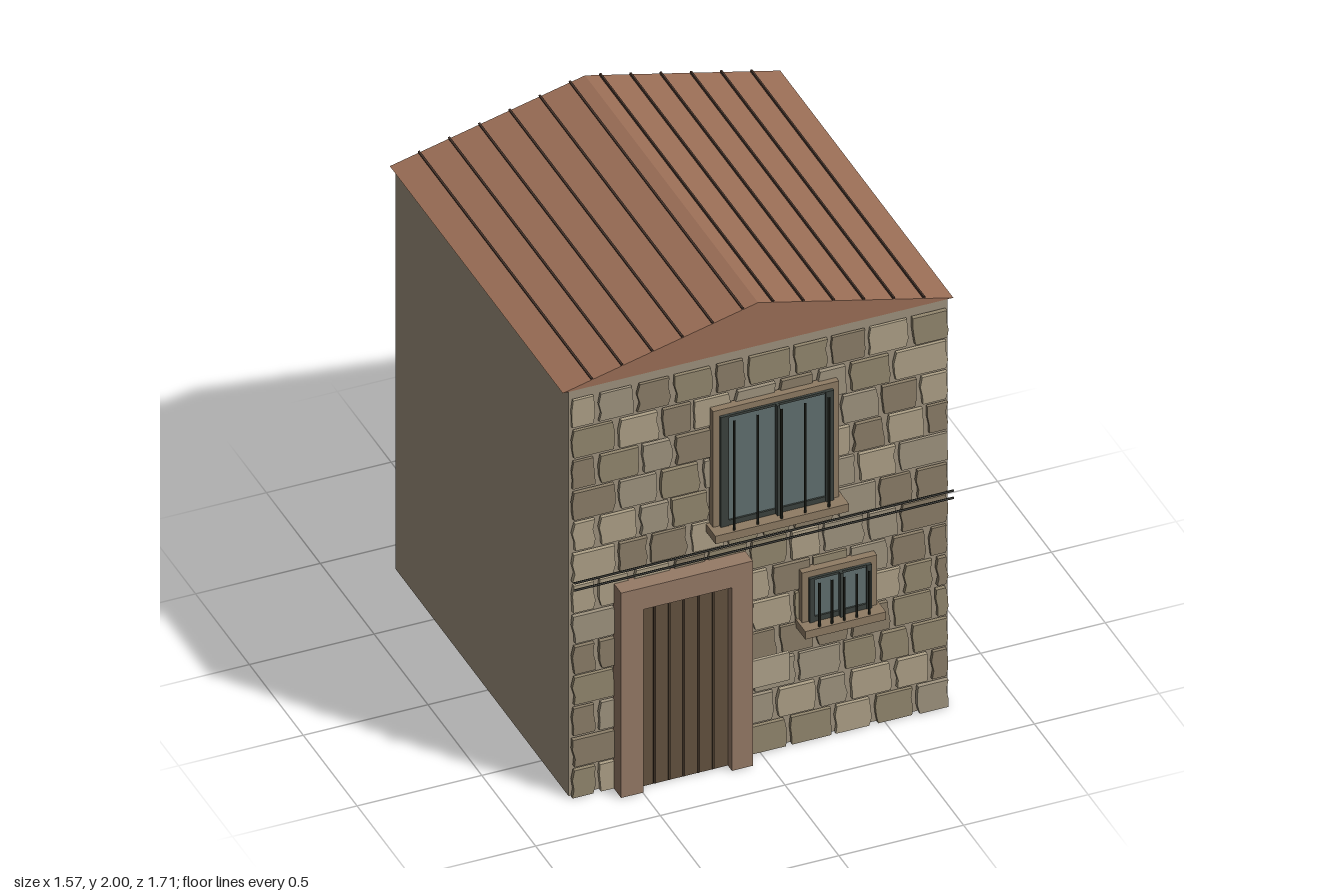
import * as THREE from 'three';

const mat = (color) => new THREE.MeshStandardMaterial({ color, flatShading: true });
const M = {
  wall: mat(0x9f927e), roof: mat(0x9c6f57), seam: mat(0x45332a), trim: mat(0x8f7c64),
  doorFrame: mat(0x967a66), door: mat(0x64523f), groove: mat(0x483a2d), glass: mat(0x617070),
  dark: mat(0x3c423e), iron: mat(0x25271f), plaque: mat(0xb0a48c),
};
const stoneMats = [0xa09580, 0x94886f, 0xafa288, 0x8c7f69].map(mat);

// Small seeded generator
let seed = 7;
const rnd = () => (seed = (seed * 16807) % 2147483647) / 2147483647;

// Box given by its limits on each axis
function box(parent, name, m, x0, x1, y0, y1, z0, z1) {
  const mesh = new THREE.Mesh(new THREE.BoxGeometry(x1 - x0, y1 - y0, z1 - z0), m);
  mesh.position.set((x0 + x1) / 2, (y0 + y1) / 2, (z0 + z1) / 2);
  mesh.name = name;
  parent.add(mesh);
  return mesh;
}

function extrude(parent, name, m, shape, z0, z1) {
  const geo = new THREE.ExtrudeGeometry(shape, { depth: z1 - z0, bevelEnabled: false });
  const mesh = new THREE.Mesh(geo, m);
  mesh.position.z = z0;
  mesh.name = name;
  parent.add(mesh);
  return mesh;
}

const polygon = (pts) => new THREE.Shape(pts.map(([x, y]) => new THREE.Vector2(x, y)));

// Thin round rod between two points
function rod(parent, name, m, a, b, r) {
  const path = new THREE.LineCurve3(new THREE.Vector3(...a), new THREE.Vector3(...b));
  const mesh = new THREE.Mesh(new THREE.TubeGeometry(path, 1, r, 6), m);
  mesh.name = name;
  parent.add(mesh);
}

// Uneven stone courses over the front wall
function stoneFacade() {
  const g = new THREE.Group();
  g.name = 'stoneFacade';
  const pitch = 0.1376, h = 0.123, edge = 0.757;
  for (let row = 0; row < 13; row++) {
    const y0 = row * pitch, y1 = y0 + h;
    let x = -edge;
    let w = row % 2 ? 0.18 : 0.1;
    while (x < edge - 0.03) {
      let x1 = Math.min(x + w, edge);
      if (edge - x1 < 0.06) x1 = edge;
      const j = () => 0.003 + rnd() * 0.012;
      const shape = polygon([
        [x + j(), y0 + 0.002], [x1 - j(), y0 + 0.002], [x1 - 0.004, y0 + h * 0.3],
        [x1 - j(), y0 + h * 0.65], [x1 - j(), y1], [x + j(), y1],
        [x + 0.003, y0 + h * 0.65], [x + j(), y0 + h * 0.3],
      ]);
      extrude(g, 'stone', stoneMats[Math.floor(rnd() * 4)], shape, 0.756, 0.768 + rnd() * 0.007);
      x = x1 + 0.008;
      w = 0.12 + rnd() * 0.055;
    }
  }
  return g;
}

// Framed window with sill and iron bars
function barredWindow(name, x0, x1, y0, y1, sill, side, bars) {
  const g = new THREE.Group();
  g.name = name;
  const t = 0.026;
  box(g, 'frameLeft', M.trim, x1 - t, x1, y0, y1, 0.762, 0.8);
  box(g, 'frameRight', M.trim, x0, x0 + t, y0, y1, 0.762, 0.8);
  box(g, 'frameTop', M.trim, x0 + t, x1 - t, y1 - t, y1, 0.762, 0.8);
  box(g, 'glass', M.glass, x0 + t, x1 - t, y0, y1 - t, 0.778, 0.803);
  // Dark casement around the glass
  box(g, 'casementLeft', M.dark, x1 - t - side, x1 - t, y0, y1 - t, 0.79, 0.813);
  box(g, 'casementRight', M.dark, x0 + t, x0 + t + side, y0, y1 - t, 0.79, 0.813);
  box(g, 'casementBottom', M.dark, x0 + t, x1 - t, y0, y0 + 0.022, 0.79, 0.81);
  box(g, 'casementTop', M.dark, x0 + t, x1 - t, y1 - t - 0.01, y1 - t, 0.79, 0.81);
  box(g, 'mullion', M.dark, (x0 + x1) / 2 - 0.006, (x0 + x1) / 2 + 0.006, y0, y1 - t, 0.79, 0.825);
  box(g, 'sill', M.trim, x0 - sill, x1 + sill, y0 - 0.035, y0, 0.762, 0.857);
  bars.forEach((x) => rod(g, 'bar', M.iron, [x, y0, 0.845], [x, y1 - t, 0.845], 0.005));
  return g;
}

export function createModel() {
  const house = new THREE.Group();
  house.name = 'house';
  const zb = -0.857, zf = 0.75, eave = 1.806, ridge = 1.998, rx = 0.783;

  // Walls and gabled roof
  box(house, 'walls', M.wall, -0.76, 0.76, 0, eave, zb, zf);
  extrude(house, 'roof', M.roof, polygon([[-rx, eave], [rx, eave], [0, ridge]]), zb, zf);

  // Seams running along the roof from front to back
  for (let i = 0; i < 12; i++) {
    const x = -0.666 + i * 0.1211;
    const y = ridge - (Math.abs(x) / rx) * (ridge - eave) + 0.003;
    const seam = box(house, 'roofSeam', M.seam, x - 0.004, x + 0.004, y - 0.005, y + 0.005, zb, zf);
    seam.rotation.z = -Math.sign(x) * Math.atan2(ridge - eave, rx);
  }

  house.add(stoneFacade());

  // Door surround and plank door
  const surround = polygon([
    [-0.587, 0], [-0.497, 0], [-0.497, 0.818], [-0.143, 0.818],
    [-0.143, 0], [-0.059, 0], [-0.059, 0.915], [-0.587, 0.915],
  ]);
  extrude(house, 'doorSurround', M.doorFrame, surround, 0.762, 0.838);
  box(house, 'door', M.door, -0.49, -0.143, 0, 0.808, 0.775, 0.8);
  for (let i = 1; i < 6; i++) {
    const x = -0.497 + i * 0.059;
    box(house, 'doorGroove', M.groove, x - 0.004, x + 0.004, 0.003, 0.805, 0.79, 0.805);
  }

  // Windows
  house.add(barredWindow('upperWindow', -0.202, 0.303, 1.08, 1.597, 0.015, 0.032,
    [-0.137, -0.042, 0.053, 0.148, 0.243]));
  house.add(barredWindow('lowerWindow', 0.155, 0.455, 0.556, 0.778, 0.012, 0.02,
    [0.205, 0.255, 0.305, 0.355, 0.405]));

  // Blank plaque beside the door
  box(house, 'plaque', M.plaque, -0.13, 0.095, 0.33, 0.453, 0.807, 0.82);

  // Cables across the front
  for (const y of [0.955, 0.987]) {
    rod(house, 'cable', M.iron, [-0.763, y, 0.807], [0.76, y, 0.807], 0.0045);
  }
  return house;
}
